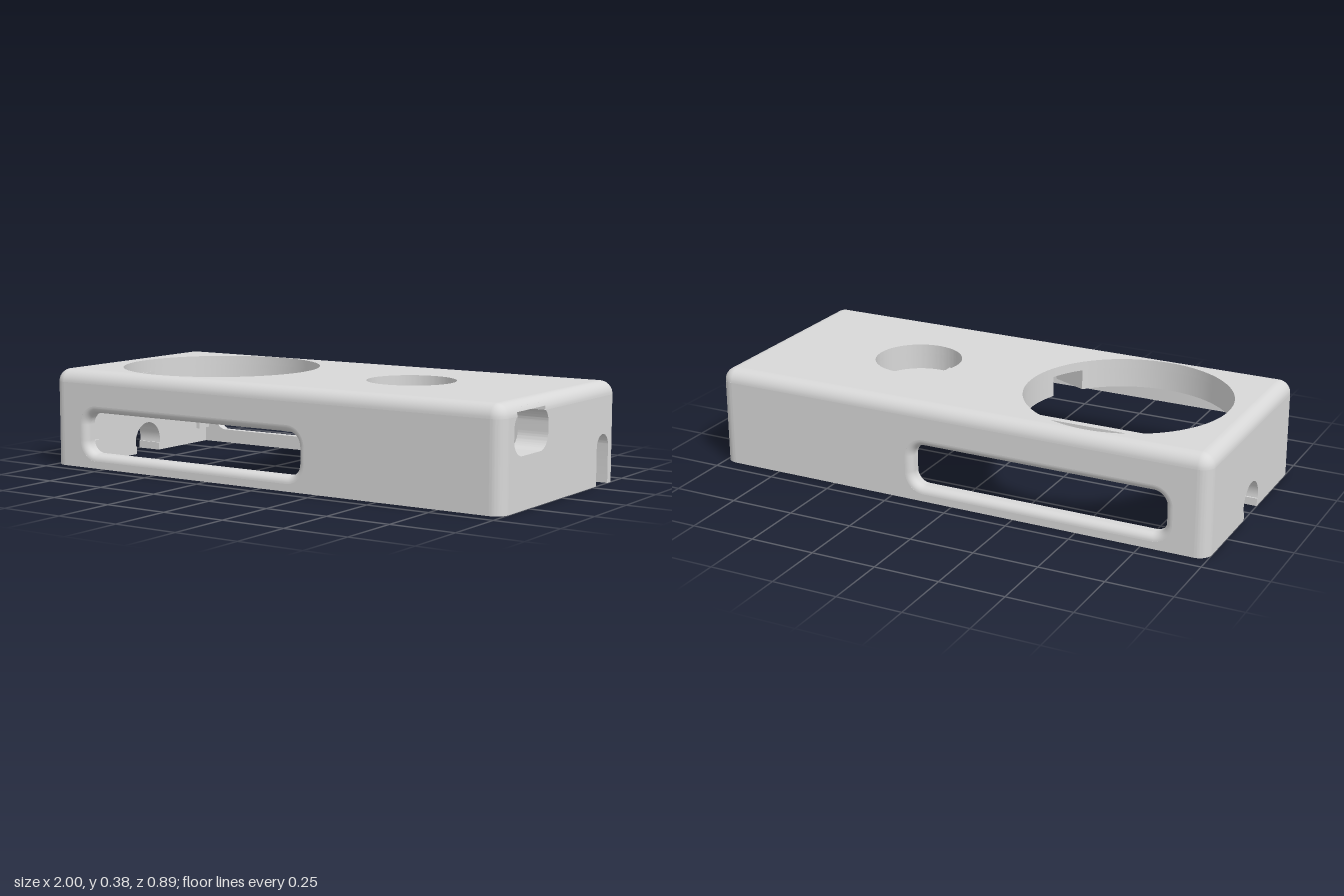
import * as THREE from 'three';
import { toCreasedNormals } from 'three/addons/utils/BufferGeometryUtils.js';

const HX = 1, HZ = 0.443, R = 0.05;            // half length, half depth, edge rounding
const TOP = 0.38, SHOULDER = TOP - R;          // walls end where the top rounding starts
const ROOF = 0.345;                            // underside of the top plate
const INL = 0.88, INR = -0.895, INZ = 0.39;    // inner wall faces
const CEIL = 0.267;                            // underside of the thick block
const EX = HX - R, EZ = HZ - R;                // centres of the rounded corners
const BIG = { x: -0.508, r: 0.39 }, SMALL = { x: 0.375, r: 0.168 };
const SLOT = { x: -0.337, y: 0.136, hx: 0.453, hy: 0.031, r: 0.05, lip: 0.027 };
const PORT = [0.13, 0.34];                     // z range where the port cuts the rounded edge
const DEG = Math.PI / 180;

function roundedRect(cx, cy, hx, hy, r) {
  const path = new THREE.Path();
  path.absarc(cx + hx, cy + hy, r, 0, Math.PI / 2);
  path.absarc(cx - hx, cy + hy, r, Math.PI / 2, Math.PI);
  path.absarc(cx - hx, cy - hy, r, Math.PI, Math.PI * 1.5);
  path.absarc(cx + hx, cy - hy, r, Math.PI * 1.5, Math.PI * 2);
  path.closePath();
  return path;
}

function rect(x0, y0, x1, y1) {
  return new THREE.Shape([[x0, y0], [x1, y0], [x1, y1], [x0, y1]].map(p => new THREE.Vector2(...p)));
}

function circle(x, y, r) {
  return new THREE.Path().absarc(x, y, r, 0, Math.PI * 2);
}

function box(x0, x1, y0, y1, z0, z1) {
  return new THREE.BoxGeometry(x1 - x0, y1 - y0, z1 - z0)
    .translate((x0 + x1) / 2, (y0 + y1) / 2, (z0 + z1) / 2);
}

function extrude(shape, depth, curveSegments = 12) {
  return new THREE.ExtrudeGeometry(shape, { depth, bevelEnabled: false, curveSegments });
}

// Shape drawn in (x, z), filling y0..y1
function slab(shape, y0, y1, segments = 12) {
  const g = extrude(shape, y1 - y0, segments).rotateX(Math.PI / 2).translate(0, y1, 0);
  return toCreasedNormals(g, 0.6);
}

// Sweeps a profile of [offset, height] around a rounded rectangle;
// an optional gap in the +x side stays open up to height gapTop
function ringLoft(hx, hz, profile, gap = [], gapTop = 0, seg = 12) {
  const pos = [], index = [], n = 4 * (seg + 1) + gap.length;
  for (const [r, y] of profile) {
    for (let c = 0; c < 4; c++) {
      const sx = c === 0 || c === 3 ? 1 : -1, sz = c < 2 ? 1 : -1;
      for (let k = 0; k <= seg; k++) {
        const a = (c + k / seg) * Math.PI / 2;
        pos.push(sx * hx + r * Math.cos(a), y, sz * hz + r * Math.sin(a));
      }
    }
    gap.forEach(z => pos.push(hx + r, y, z));
  }
  for (let j = 0; j < profile.length - 1; j++) {
    for (let i = 0; i < n; i++) {
      if (gap.length && i === n - 2 && profile[j + 1][1] <= gapTop + 1e-6) continue;
      const a = j * n + i, b = j * n + (i + 1) % n;
      index.push(a, a + n, b, b, a + n, b + n);
    }
  }
  const g = new THREE.BufferGeometry();
  g.setAttribute('position', new THREE.Float32BufferAttribute(pos, 3));
  g.setIndex(index);
  g.computeVertexNormals();
  return g;
}

// End wall drawn in (-z, y): arched cable notch open at the bottom,
// and optionally the port, open at the top
function endWallShape(c, cy, r, e, port) {
  const s = new THREE.Shape(), w = r * Math.cos(e), b = 0.03;
  s.moveTo(-EZ, b);
  s.lineTo(c - w, b);
  s.absarc(c, cy, r, Math.PI + e, -e, true);
  s.lineTo(c + w, b);
  s.lineTo(EZ, b);
  s.lineTo(EZ, SHOULDER);
  if (port) {
    const q = 0.06, t = Math.asin((SHOULDER - 0.285) / q);
    s.absarc(-0.17, 0.285, q, t, 0, true);
    s.absarc(-0.17, 0.25, q, 0, -Math.PI / 2, true);
    s.absarc(-0.3, 0.25, q, -Math.PI / 2, -Math.PI, true);
    s.absarc(-0.3, 0.285, q, Math.PI, Math.PI - t, true);
  }
  s.lineTo(-EZ, SHOULDER);
  s.closePath();
  return s;
}

export function createModel() {
  const group = new THREE.Group();
  const grey = new THREE.MeshStandardMaterial({ color: 0xd8d8d8 });
  grey.name = 'shell grey';
  const add = (name, geometry) => {
    const m = new THREE.Mesh(geometry, grey);
    m.name = name;
    group.add(m);
    return m;
  };

  // Rounded top edge running around the shell, cut by the port
  const roofAngle = Math.asin((ROOF - SHOULDER) / R);
  const angles = [0, roofAngle / 2];
  for (let i = 0; i <= 8; i++) angles.push(roofAngle + (Math.PI / 2 - roofAngle) * i / 8);
  const round = angles.map(a => [R * Math.cos(a), SHOULDER + R * Math.sin(a)]);
  add('topEdge', ringLoft(EX, EZ, round, PORT, ROOF));
  add('portRoof', box(0.94, 0.99, ROOF, 0.36, ...PORT));
  add('portSide', box(INL, 0.995, SHOULDER, ROOF, -EZ, PORT[0]));
  add('portSide', box(INL, 0.995, SHOULDER, ROOF, PORT[1], EZ));

  // Top plate with the large opening and the small round pocket
  const top = rect(-EX, -EZ, EX, EZ);
  top.holes.push(circle(BIG.x, 0, BIG.r), circle(SMALL.x, 0, SMALL.r));
  add('topPlate', slab(top, ROOF, TOP, 72));

  // Thick block around the large opening, with a flared cable gap at its front left
  const block = new THREE.Shape();
  block.moveTo(-0.07, 0.315);
  block.lineTo(-0.07, INZ);
  block.lineTo(-0.905, INZ);
  block.lineTo(-0.905, -INZ);
  block.lineTo(-0.07, -INZ);
  block.lineTo(-0.07, 0.19);
  block.absarc(BIG.x, 0, BIG.r, 20 * DEG, 40 * DEG, true);
  block.closePath();
  add('openingBlock', slab(block, CEIL, ROOF, 68));

  // Pocket housing with a thin cover below and a step inside
  const housing = rect(0.18, -0.19, 0.57, 0.19);
  housing.holes.push(circle(SMALL.x, 0, SMALL.r));
  add('pocketHousing', slab(housing, 0.28, ROOF, 72));
  add('pocketCover', box(0.2, 0.55, CEIL, 0.28, -0.17, 0.17));
  add('pocketStep', box(0.205, 0.28, 0.28, 0.335, -0.0725, 0.0725));

  // Long walls: a plain inner layer, and an outer layer holding the rounded slot lip
  const wallShape = offset => {
    const s = rect(-EX, 0, EX, SHOULDER);
    s.holes.push(roundedRect(SLOT.x, SLOT.y, SLOT.hx, SLOT.hy, SLOT.r + offset));
    return s;
  };
  const step = HZ - SLOT.lip;
  const inner = extrude(wallShape(0), step - INZ), outer = extrude(wallShape(SLOT.lip), SLOT.lip);
  const lip = [];
  for (let i = 0; i <= 8; i++) {
    const a = i / 8 * Math.PI / 2;
    lip.push([SLOT.r + SLOT.lip * (1 - Math.sin(a)), HZ - SLOT.lip * (1 - Math.cos(a))]);
  }
  for (const side of [1, -1]) {
    const name = side > 0 ? 'front' : 'back';
    add(name + 'WallInner', inner).position.z = side > 0 ? INZ : -step;
    add(name + 'WallOuter', outer).position.z = side > 0 ? step : -HZ;
    add(name + 'WallTop', box(-EX, EX, SHOULDER, ROOF, INZ, HZ - 0.01)).position.z =
      side > 0 ? 0 : -INZ - HZ + 0.01;
    const m = add(name + 'SlotLip', ringLoft(SLOT.hx, SLOT.hy, lip).rotateX(Math.PI / 2));
    m.position.set(SLOT.x, SLOT.y, 0);
    if (side < 0) m.rotation.y = Math.PI;
  }

  // End walls: left has a port and a tall notch, right has a round cable notch
  const endWall = (name, shape, x0, x1) => add(name,
    toCreasedNormals(extrude(shape, x1 - x0, 16).rotateY(Math.PI / 2).translate(x0, 0, 0), 0.6));
  endWall('leftWall', endWallShape(0.3275, 0.1425, 0.0475, 0, true), INL, HX);
  endWall('rightWall', endWallShape(0, 0.045, 0.078, 11.1 * DEG, false), -HX, INR);

  // Bottom rails under the end walls, drilled for screws
  const rails = [
    [INL, HX, -0.28, EZ, 0.91, [-0.2, 0.31]], [INL, HX, -EZ, -0.375, 0, []],
    [-HX, INR, 0.07, EZ, -0.93, [0.36]], [-HX, INR, -EZ, -0.07, -0.93, [-0.36]],
  ];
  for (const [x0, x1, z0, z1, x, screws] of rails) {
    const s = rect(x0, z0, x1, z1);
    screws.forEach(z => s.holes.push(circle(x, z, 0.015)));
    add('bottomRail', slab(s, 0, 0.03));
  }

  // Rounded vertical corners
  for (let c = 0; c < 4; c++) {
    const sx = c === 0 || c === 3 ? 1 : -1, sz = c < 2 ? 1 : -1;
    const s = new THREE.Shape();
    s.moveTo(sx * EX, sz * EZ);
    s.absarc(sx * EX, sz * EZ, R, c * Math.PI / 2, (c + 1) * Math.PI / 2);
    s.closePath();
    add('corner', slab(s, 0, SHOULDER));
  }

  // Small tabs inside the right wall
  for (const sz of [1, -1]) {
    add('innerTab', new THREE.BoxGeometry(0.02, 0.032, 0.067).translate(-0.888, 0.076, sz * 0.357));
  }
  return group;
}
